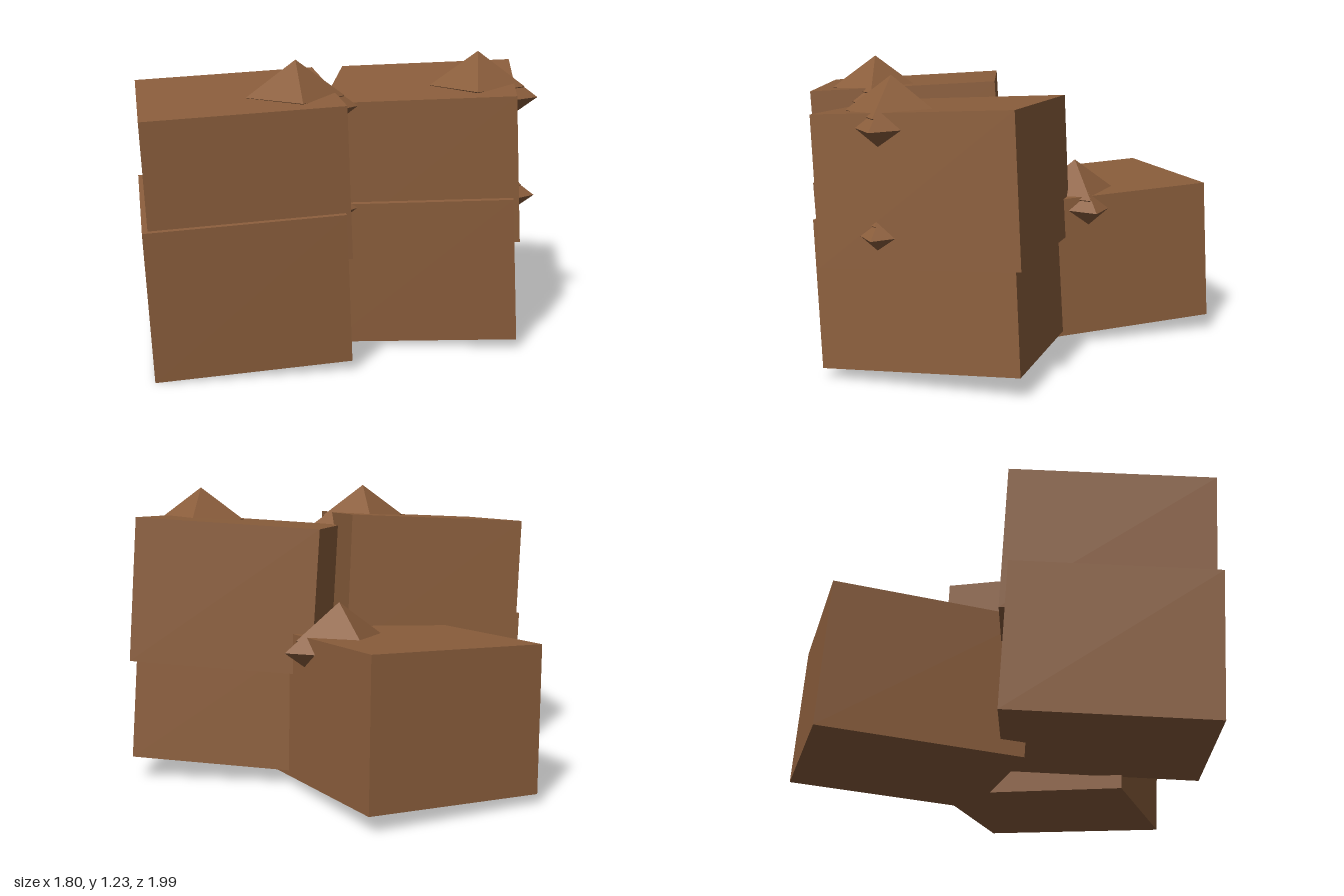
import * as THREE from 'three';

// Leaning stacks of crates, each crate with two faceted studs.
export function createModel() {
  const model = new THREE.Group();
  model.name = 'crateStacks';

  const brown = new THREE.MeshStandardMaterial({ color: 0x8b5e3c });
  brown.name = 'brown';

  const crateGeometry = new THREE.BoxGeometry(0.785, 0.615, 0.838);
  const studGeometry = new THREE.OctahedronGeometry(1);

  function addMesh(parent, name, geometry, x, y, z) {
    const mesh = new THREE.Mesh(geometry, brown);
    mesh.name = name;
    mesh.position.set(x, y, z);
    parent.add(mesh);
    return mesh;
  }

  // One crate: the box leans, the studs stay upright
  function makeCrate(tiltX, tiltZ) {
    const crate = new THREE.Group();
    crate.name = 'crate';
    addMesh(crate, 'crateBox', crateGeometry, 0, 0, 0).rotation.set(tiltX, 0, tiltZ);
    addMesh(crate, 'topStud', studGeometry, 0.22, 0.302, 0.156).scale.set(0.2, 0.148, 0.2);
    addMesh(crate, 'sideStud', studGeometry, 0.37, 0.257, 0.15).scale.set(0.105, 0.078, 0.105);
    return crate;
  }

  // Position of the lowest crate, turn, lean and number of crates
  const stacks = [
    { name: 'leftStack', at: [0.42, 0.356, 0.02], turn: 0, tiltX: 0.065, tiltZ: 0.055, count: 2 },
    { name: 'frontRightStack', at: [-0.34, 0.352, 0.459], turn: 0.285, tiltX: 0.058, tiltZ: 0.051, count: 2 },
    { name: 'backRightStack', at: [-0.343, 0.344, -0.416], turn: 0.594, tiltX: 0.049, tiltZ: 0.039, count: 1 },
  ];

  for (const s of stacks) {
    const stack = new THREE.Group();
    stack.name = s.name;
    stack.position.set(...s.at);
    stack.rotation.y = s.turn;
    for (let i = 0; i < s.count; i++) {
      const crate = makeCrate(s.tiltX, s.tiltZ);
      crate.position.y = i * 0.425;
      stack.add(crate);
    }
    model.add(stack);
  }
  return model;
}
